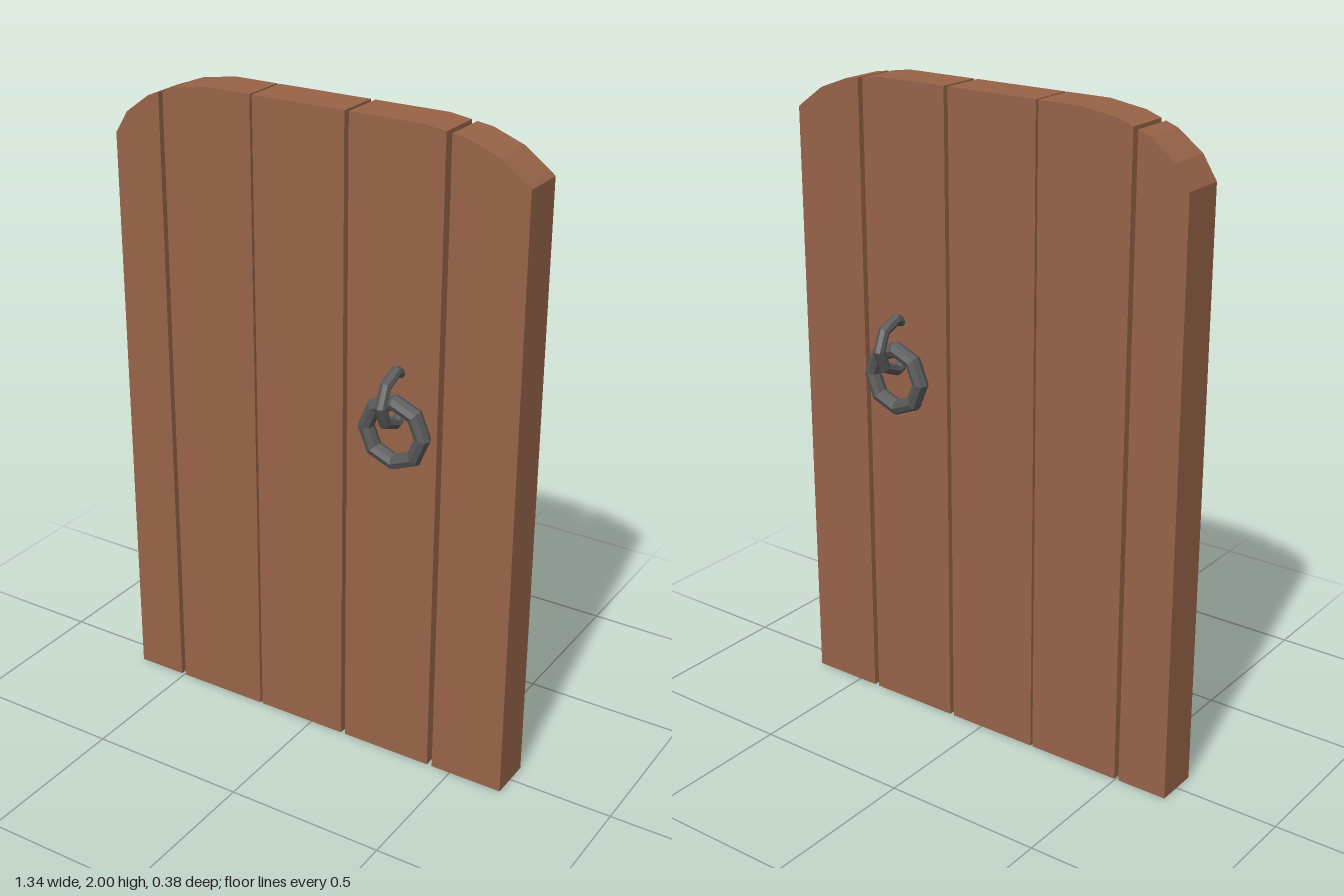
import * as THREE from 'three';

const wood = new THREE.MeshStandardMaterial({ color: 0x976348, flatShading: true });
wood.name = 'brown wood';
const iron = new THREE.MeshStandardMaterial({ color: 0x575757, flatShading: true });
iron.name = 'dark iron';

const HALF_DEPTH = 0.069;

// Rounded top edge of the door, left to right
const arch = [
  [-0.671, 1.82], [-0.627, 1.889], [-0.548, 1.947], [-0.45, 1.983], [-0.335, 2],
  [0.357, 2], [0.485, 1.981], [0.58, 1.945], [0.66, 1.887], [0.671, 1.877],
];

// Edges of each plank
const planks = [
  [-0.671, -0.511], [-0.496, -0.196], [-0.188, 0.111], [0.125, 0.421], [0.438, 0.671],
];

function archHeight(x) {
  for (let i = 1; i < arch.length; i++) {
    const [x0, y0] = arch[i - 1], [x1, y1] = arch[i];
    if (x <= x1) return y0 + (y1 - y0) * (x - x0) / (x1 - x0);
  }
  return arch[arch.length - 1][1];
}

// One plank, cut to follow the arch
function makePlank([x0, x1]) {
  const top = [
    [x0, archHeight(x0)],
    ...arch.filter(([x]) => x > x0 && x < x1),
    [x1, archHeight(x1)],
  ];
  const outline = [[x0, 0], [x1, 0], ...top.reverse()].map(([x, y]) => new THREE.Vector2(x, y));
  const geometry = new THREE.ExtrudeGeometry(new THREE.Shape(outline), {
    depth: HALF_DEPTH * 2, bevelEnabled: false,
  });
  geometry.translate(0, 0, -HALF_DEPTH);
  return new THREE.Mesh(geometry, wood);
}

// Hanging ring linked through a staple ring sunk into the wood
function makeHandle(side) {
  const handle = new THREE.Group();
  const pull = new THREE.Mesh(new THREE.TorusGeometry(0.092, 0.025, 8, 8), iron);
  pull.name = 'pullRing';
  pull.position.set(0.297, 1.109, side * 0.094);
  const staple = new THREE.Mesh(new THREE.TorusGeometry(0.079, 0.018, 8, 8), iron);
  staple.name = 'stapleRing';
  staple.rotation.y = Math.PI / 2;
  staple.position.set(0.297, 1.214, side * 0.091);
  handle.add(pull, staple);
  return handle;
}

export function createModel() {
  const door = new THREE.Group();
  door.name = 'door';
  planks.forEach((edges, i) => {
    const plank = makePlank(edges);
    plank.name = `plank${i + 1}`;
    door.add(plank);
  });
  for (const side of [1, -1]) {
    const handle = makeHandle(side);
    handle.name = side > 0 ? 'frontHandle' : 'backHandle';
    door.add(handle);
  }
  return door;
}
